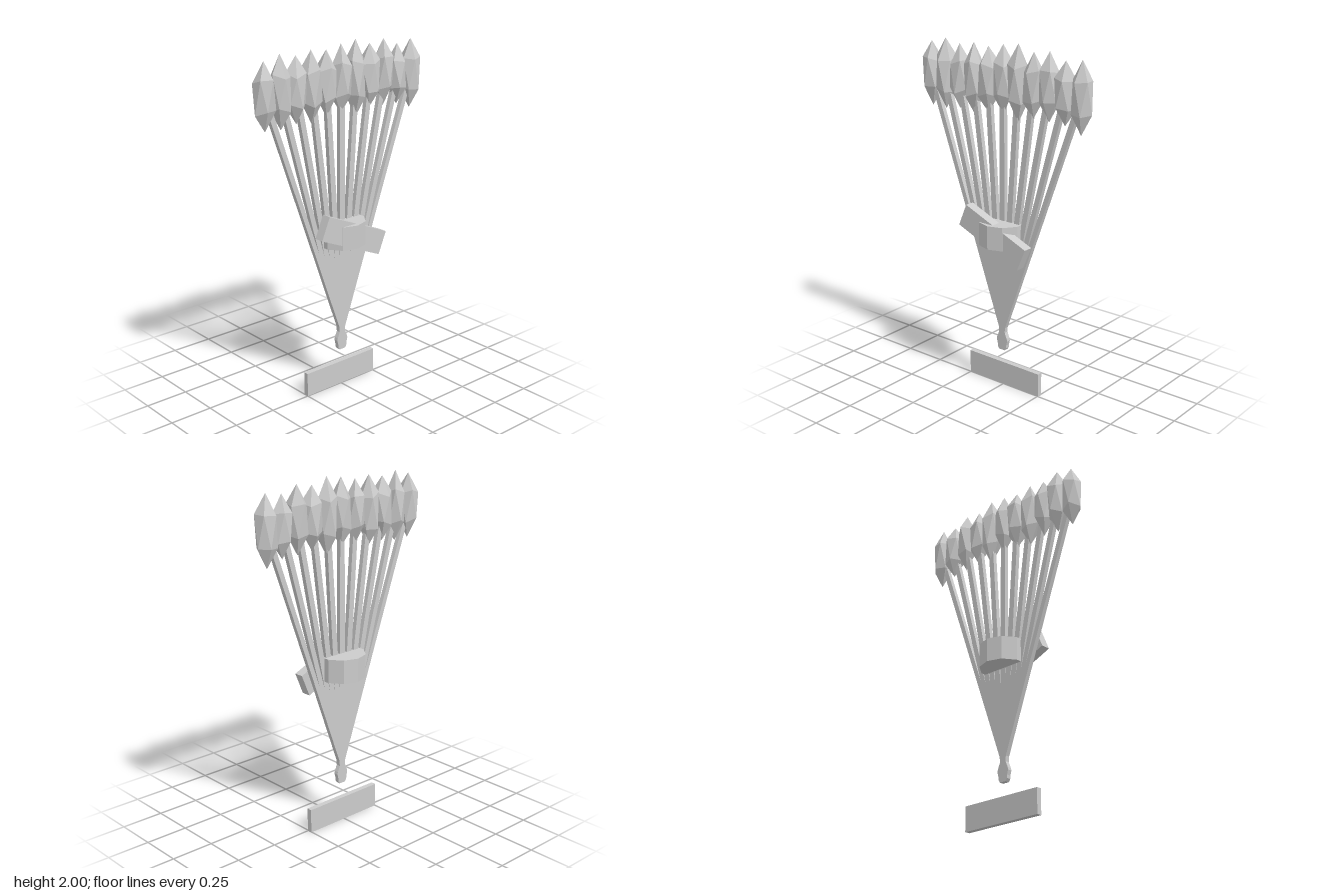
import * as THREE from 'three';

const grey = () => new THREE.MeshStandardMaterial({ color: 0xcccccc, flatShading: true });

function add(group, name, geometry, x = 0, y = 0, z = 0) {
  const mesh = new THREE.Mesh(geometry, grey());
  mesh.name = name;
  mesh.position.set(x, y, z);
  group.add(mesh);
  return mesh;
}

// Flat comb: knobbed handle, solid wedge and eleven splayed tines
function fanGeometry() {
  const knob = [[0.02, 0.225], [0.03, 0.24], [0.031, 0.258], [0.038, 0.285], [0.035, 0.3], [0.02, 0.335], [0.022, 0.365]];
  const pts = knob.map(([x, y]) => new THREE.Vector2(x, y));
  pts.push(new THREE.Vector2(0.2, 0.86));
  for (let i = 5; i >= -5; i--) {
    const x = 0.0973 * i;
    pts.push(new THREE.Vector2(x + 0.016, 1.7), new THREE.Vector2(x - 0.016, 1.7));
    if (i > -5) {
      const k = i - 0.5;
      pts.push(new THREE.Vector2(0.0375 * k, 0.79 + 0.003 * k * k));
    }
  }
  pts.push(new THREE.Vector2(-0.2, 0.86));
  for (const [x, y] of [...knob].reverse()) pts.push(new THREE.Vector2(-x, y));
  return new THREE.ExtrudeGeometry(new THREE.Shape(pts), { depth: 0.026, bevelEnabled: false }).translate(0, 0, -0.013);
}

// Faceted bud: two staggered rings of five between pointed ends
function budGeometry(bottom, top, turn) {
  const h = top - bottom, r = 0.057;
  const ring = (y, offset) => Array.from({ length: 5 }, (_, i) => {
    const a = turn + (i + offset) * Math.PI * 0.4;
    const k = r * (1 + 0.05 * Math.sin(i * 2.3 + turn * 5));
    return [k * Math.sin(a), y + 0.012 * Math.sin(i * 3.1 + turn * 4), k * Math.cos(a)];
  });
  const upper = ring(bottom + h * 0.72, 0), lower = ring(bottom + h * 0.28, 0.5);
  const tip = [0, top, 0], foot = [0, bottom, 0], v = [];
  for (let i = 0; i < 5; i++) {
    const j = (i + 1) % 5;
    v.push(tip, upper[i], upper[j]);
    v.push(upper[i], lower[i], upper[j]);
    v.push(upper[j], lower[i], lower[j]);
    v.push(foot, lower[j], lower[i]);
  }
  const g = new THREE.BufferGeometry();
  g.setAttribute('position', new THREE.Float32BufferAttribute(v.flat(), 3));
  g.computeVertexNormals();
  return g;
}

export function createModel() {
  const model = new THREE.Group();
  model.name = 'fan';

  add(model, 'fanFrame', fanGeometry());

  // Row of buds, each with its own height and turn
  const tops = [1.955, 1.98, 1.96, 1.977, 1.966, 1.987, 2.0, 1.966, 1.982, 1.945, 1.96];
  const bottoms = [1.59, 1.585, 1.60, 1.585, 1.605, 1.61, 1.575, 1.615, 1.61, 1.605, 1.57];
  const buds = new THREE.Group();
  buds.name = 'buds';
  model.add(buds);
  tops.forEach((top, i) => add(buds, 'bud', budGeometry(bottoms[i], top, i * 0.83 + 0.3), (i - 5) * 0.102));

  // Ten-sided drum binding the tines
  add(model, 'binding', new THREE.CylinderGeometry(0.14, 0.14, 0.135, 10), 0, 0.943, 0);

  // Slanted plank across the front
  const plank = add(model, 'slantedPlank', new THREE.BoxGeometry(0.45, 0.137, 0.056), 0.005, 0.94, 0.083);
  plank.rotation.z = -0.4;

  // Separate plate below the handle
  add(model, 'basePlate', new THREE.BoxGeometry(0.505, 0.14, 0.03), 0.002, 0.07, -0.014);

  return model;
}
